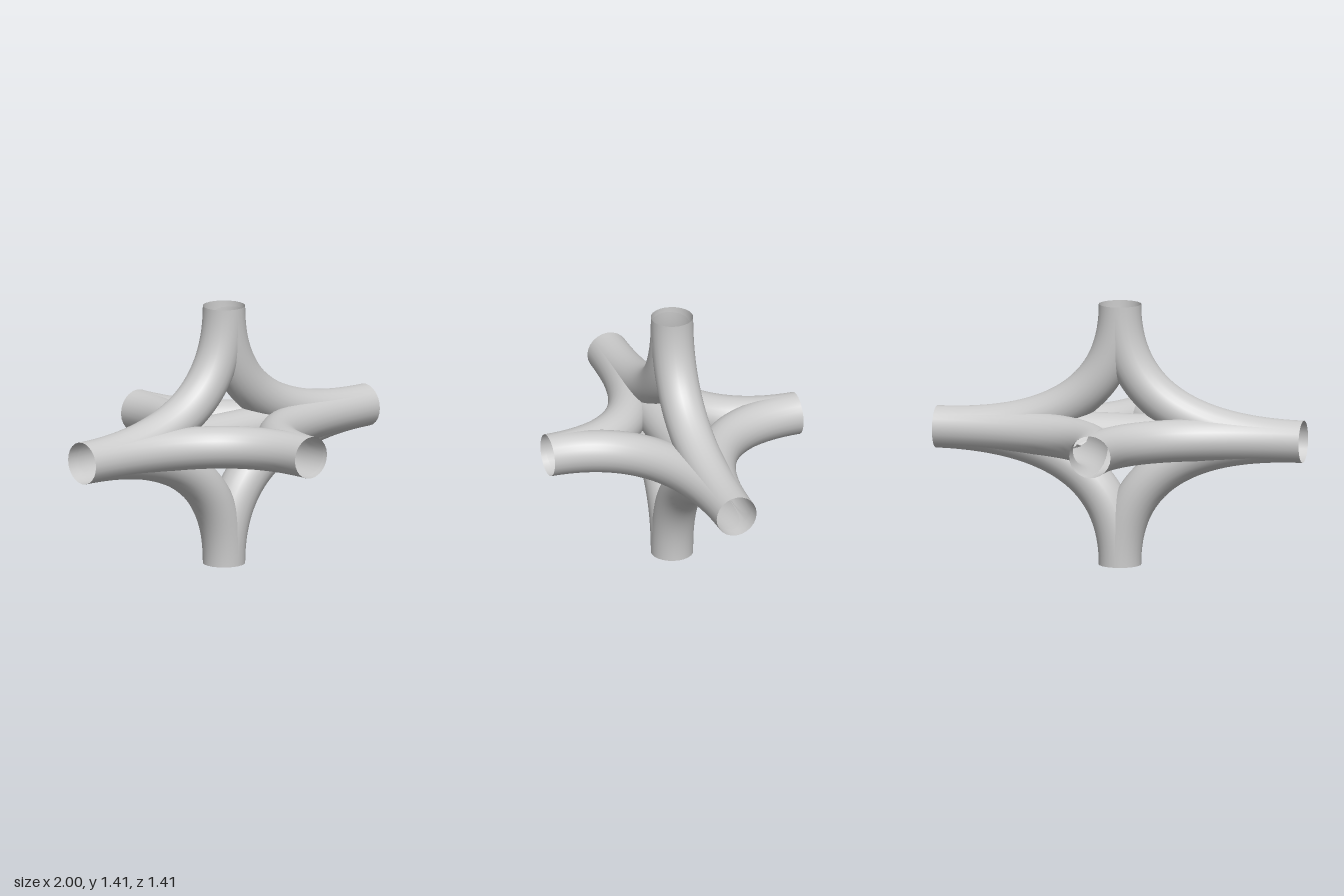
import * as THREE from 'three';
import { mergeVertices } from 'three/addons/utils/BufferGeometryUtils.js';

const RADIUS = 0.113, HALF_X = 1, ARM = 0.703, STEPS = 48, SIDES = 24;

// Distance from a point to a curve sampled as a polyline
const seg = new THREE.Line3(), near = new THREE.Vector3();
function distanceTo(points, p) {
  let best = Infinity;
  for (let i = 1; i < points.length; i++) {
    seg.set(points[i - 1], points[i]).closestPointToPoint(p, true, near);
    best = Math.min(best, near.distanceToSquared(p));
  }
  return Math.sqrt(best);
}

// Open tube with the portions lying inside the other tubes trimmed away
function trimmedTube(curve, others) {
  const tube = new THREE.TubeGeometry(curve, STEPS, RADIUS, SIDES, false);
  const { position, normal } = tube.attributes;
  const verts = [];
  for (let i = 0; i < position.count; i++) {
    const p = new THREE.Vector3().fromBufferAttribute(position, i);
    const n = new THREE.Vector3().fromBufferAttribute(normal, i);
    const f = Math.min(...others.map((o) => distanceTo(o, p))) - RADIUS + 0.001;
    verts.push({ p, n, f });
  }
  const pos = [], nor = [], index = tube.index.array;
  for (let i = 0; i < index.length; i += 3) {
    const poly = [];
    for (let k = 0; k < 3; k++) {
      const a = verts[index[i + k]], b = verts[index[i + (k + 1) % 3]];
      if (a.f >= 0) poly.push(a);
      if ((a.f >= 0) !== (b.f >= 0)) {
        const t = a.f / (a.f - b.f);
        poly.push({ p: a.p.clone().lerp(b.p, t), n: a.n.clone().lerp(b.n, t).normalize() });
      }
    }
    for (let k = 2; k < poly.length; k++) {
      for (const v of [poly[0], poly[k - 1], poly[k]]) {
        pos.push(v.p.x, v.p.y, v.p.z);
        nor.push(v.n.x, v.n.y, v.n.z);
      }
    }
  }
  const geometry = new THREE.BufferGeometry();
  geometry.setAttribute('position', new THREE.Float32BufferAttribute(pos, 3));
  geometry.setAttribute('normal', new THREE.Float32BufferAttribute(nor, 3));
  return mergeVertices(geometry, 1e-5);
}

export function createModel() {
  const group = new THREE.Group();
  group.name = 'pipeJunction';
  const material = new THREE.MeshStandardMaterial({ color: 0xcccccc, side: THREE.DoubleSide });

  // Straight pipe along x
  const pipes = [{
    name: 'straightPipe',
    curve: new THREE.LineCurve3(new THREE.Vector3(-HALF_X, 0, 0), new THREE.Vector3(HALF_X, 0, 0)),
  }];

  // Eight bent pipes sweeping from each x end to the top, bottom, front and back openings
  const arms = { Top: [0, ARM, 0], Bottom: [0, -ARM, 0], Front: [0, 0, ARM], Back: [0, 0, -ARM] };
  for (const [side, s] of [['left', 1], ['right', -1]]) {
    for (const [arm, end] of Object.entries(arms)) {
      pipes.push({
        name: `${side}${arm}Bend`,
        curve: new THREE.QuadraticBezierCurve3(
          new THREE.Vector3(...end), new THREE.Vector3(), new THREE.Vector3(s * HALF_X, 0, 0)),
      });
    }
  }

  const paths = pipes.map(({ curve }) => curve.getSpacedPoints(STEPS));
  pipes.forEach(({ name, curve }, i) => {
    const mesh = new THREE.Mesh(trimmedTube(curve, paths.filter((_, j) => j !== i)), material);
    mesh.name = name;
    mesh.position.y = ARM;
    group.add(mesh);
  });
  return group;
}
